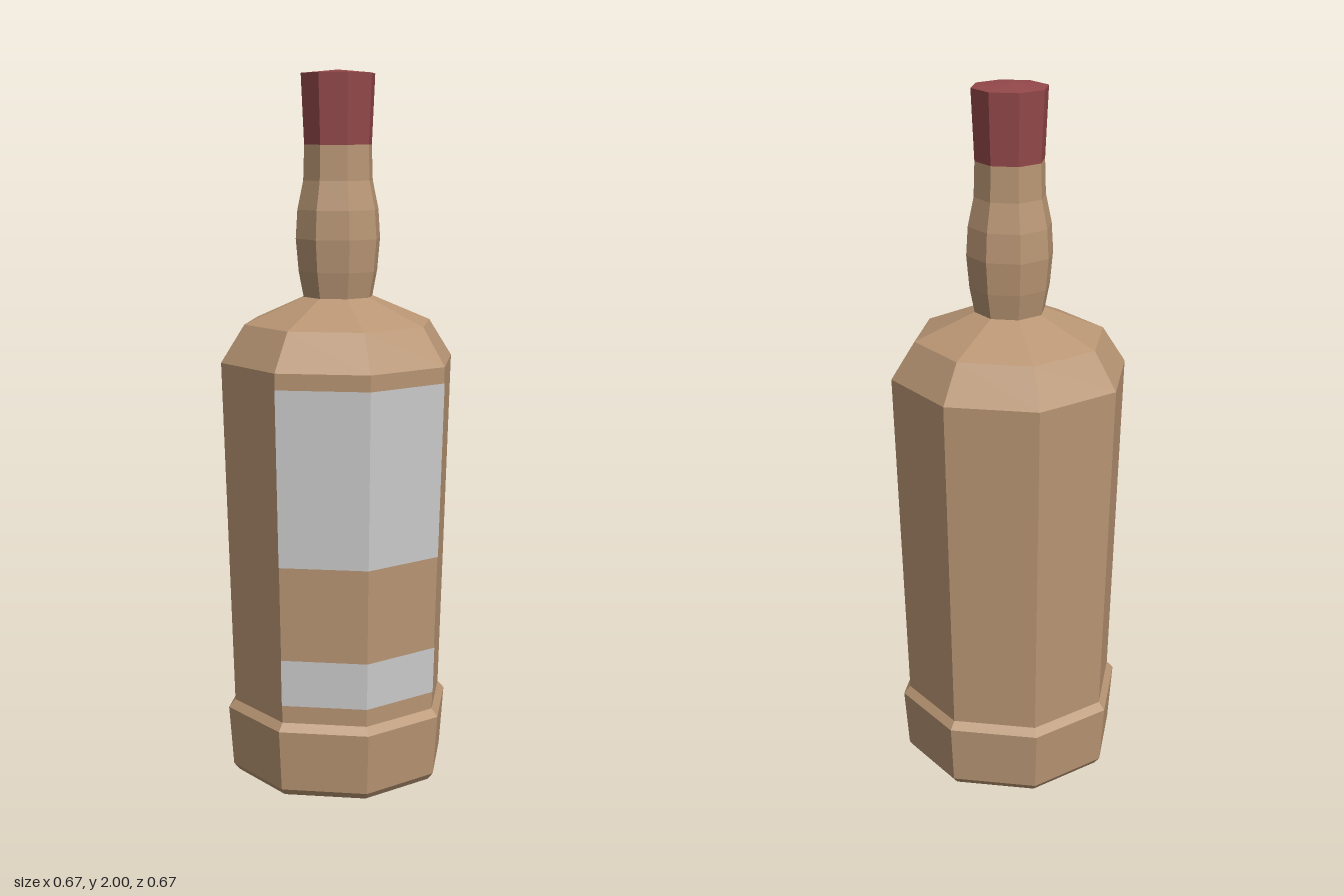
import * as THREE from 'three';

const SIDES = 8;

// Faceted turned part from [radius, height] pairs, listed bottom to top.
function turned(name, profile, color, start = 0, sides = SIDES) {
  const points = profile.map(([r, y]) => new THREE.Vector2(r, y));
  const geometry = new THREE.LatheGeometry(points, sides, start, (sides / SIDES) * Math.PI * 2);
  const material = new THREE.MeshStandardMaterial({ color, flatShading: true });
  const mesh = new THREE.Mesh(geometry, material);
  mesh.name = name;
  return mesh;
}

export function createModel() {
  const glass = 0xb99674, red = 0x94484a, paper = 0xcccccc;
  const low = [0.308, 0.215], high = [0.337, 1.2];
  const group = new THREE.Group();
  group.name = 'bottle';

  // Base ring, tapered body, shoulder
  group.add(turned('body', [
    [0, 0], [0.298, 0], [0.314, 0.02], [0.327, 0.193], low, high, [0.27, 1.305], [0.1, 1.378],
  ], glass));

  // Bulged neck
  group.add(turned('neck', [
    [0.1, 1.378], [0.114, 1.45], [0.122, 1.54], [0.117, 1.62], [0.1, 1.7], [0.097, 1.797],
  ], glass));

  // Cap with a slightly domed top
  group.add(turned('cap', [[0.097, 1.797], [0.106, 1.99], [0, 2]], red));

  // Labels wrap the two front facets and follow the body's taper
  const bodyRadius = (y) => THREE.MathUtils.mapLinear(y, low[1], high[1], low[0], high[0]) + 0.0015;
  for (const [name, y0, y1] of [['mainLabel', 0.663, 1.155], ['lowerLabel', 0.265, 0.397]]) {
    const profile = [y0, y1].map((y) => [bodyRadius(y), y]);
    group.add(turned(name, profile, paper, -Math.PI / 4, 2));
  }
  return group;
}
